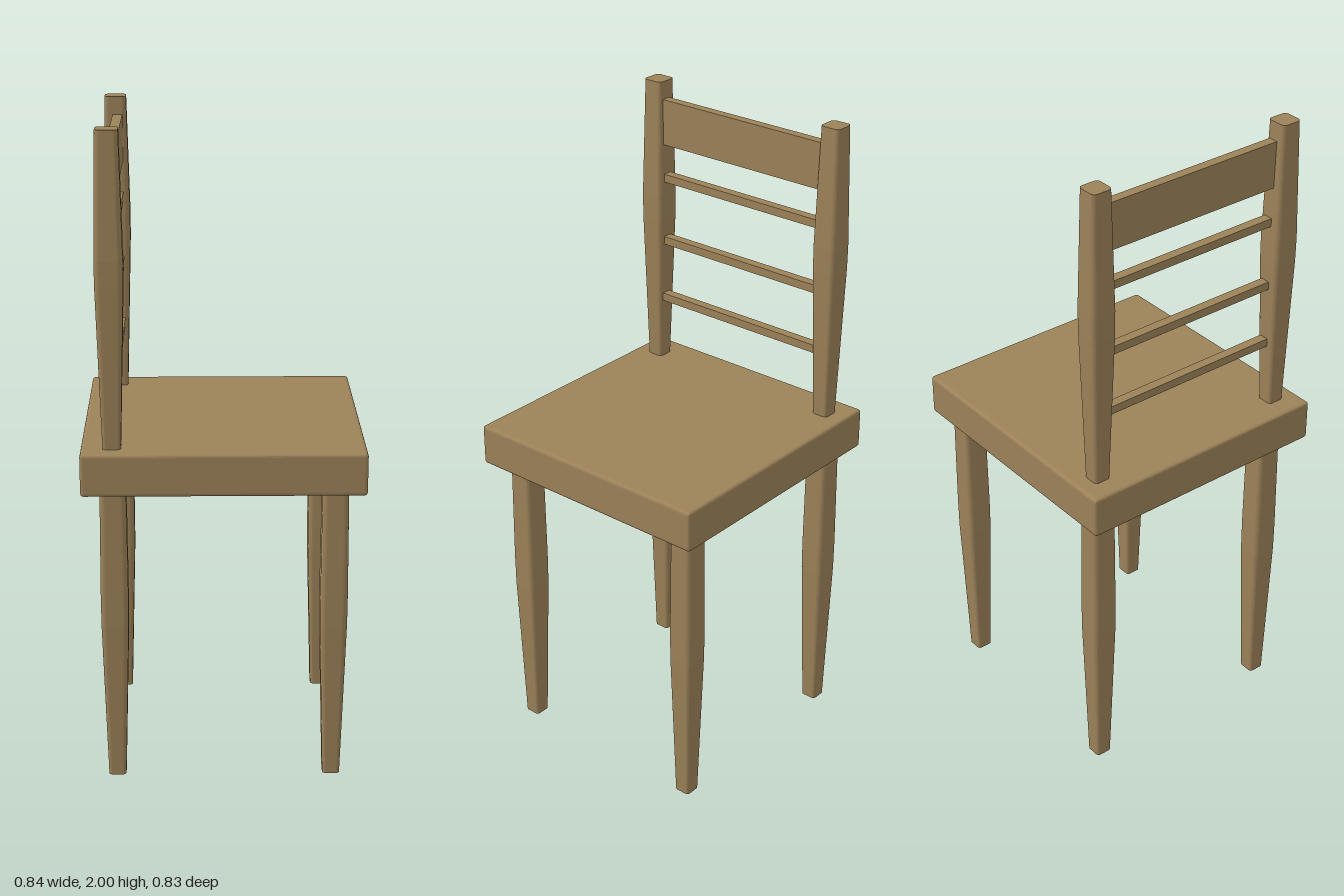
import * as THREE from 'three';
import { RoundedBoxGeometry } from 'three/addons/geometries/RoundedBoxGeometry.js';

const wood = new THREE.MeshStandardMaterial({ color: 0x9c8259, flatShading: true });
wood.name = 'wood';

// Unit square with rounded corners
function roundedSquare(r = 0.2) {
  const s = new THREE.Shape(), h = 0.5, q = Math.PI / 2;
  s.moveTo(-h + r, -h);
  s.absarc(h - r, -h + r, r, -q, 0);
  s.absarc(h - r, h - r, r, 0, q);
  s.absarc(-h + r, h - r, r, q, 2 * q);
  s.absarc(-h + r, -h + r, r, 2 * q, 3 * q);
  return s;
}

// Upright post whose width follows a list of [height, width] rings
function taperedPost(rings) {
  const steps = rings.length - 1;
  const geo = new THREE.ExtrudeGeometry(roundedSquare(), {
    depth: steps, steps, curveSegments: 3, bevelEnabled: false,
  });
  geo.rotateX(-Math.PI / 2);
  const p = geo.attributes.position;
  for (let i = 0; i < p.count; i++) {
    const [y, w] = rings[Math.round(p.getY(i))];
    p.setXYZ(i, p.getX(i) * w, y, p.getZ(i) * w);
  }
  geo.computeVertexNormals();
  return geo;
}

export function createModel() {
  const chair = new THREE.Group();
  chair.name = 'chair';
  const add = (name, geo, x, y, z) => {
    const mesh = new THREE.Mesh(geo, wood);
    mesh.name = name;
    mesh.position.set(x, y, z);
    chair.add(mesh);
  };

  // Seat slab with softened edges
  add('seat', new RoundedBoxGeometry(0.84, 0.13, 0.826, 2, 0.01), 0, 1.002, 0);

  // Four legs, widest a little above the middle
  const leg = taperedPost([[0, 0.053], [0.5, 0.082], [0.6, 0.083], [0.95, 0.078]]);
  for (const [side, z] of [['Left', 0.312], ['Right', -0.335]]) {
    add('frontLeg' + side, leg, 0.332, 0, z);
    add('backLeg' + side, leg, -0.328, 0, z);
  }

  // Two back posts rising from the seat
  const post = taperedPost([[1.05, 0.053], [1.55, 0.082], [1.63, 0.083], [2, 0.066]]);
  add('backPostLeft', post, -0.328, 0, 0.336);
  add('backPostRight', post, -0.328, 0, -0.335);

  // Top slat and three thin rails between the posts
  add('topSlat', new THREE.BoxGeometry(0.03, 0.145, 0.62), -0.321, 1.872, 0);
  const rail = new THREE.BoxGeometry(0.03, 0.026, 0.62);
  for (const y of [1.282, 1.48, 1.69]) add('backRail', rail, -0.321, y, 0);

  return chair;
}
